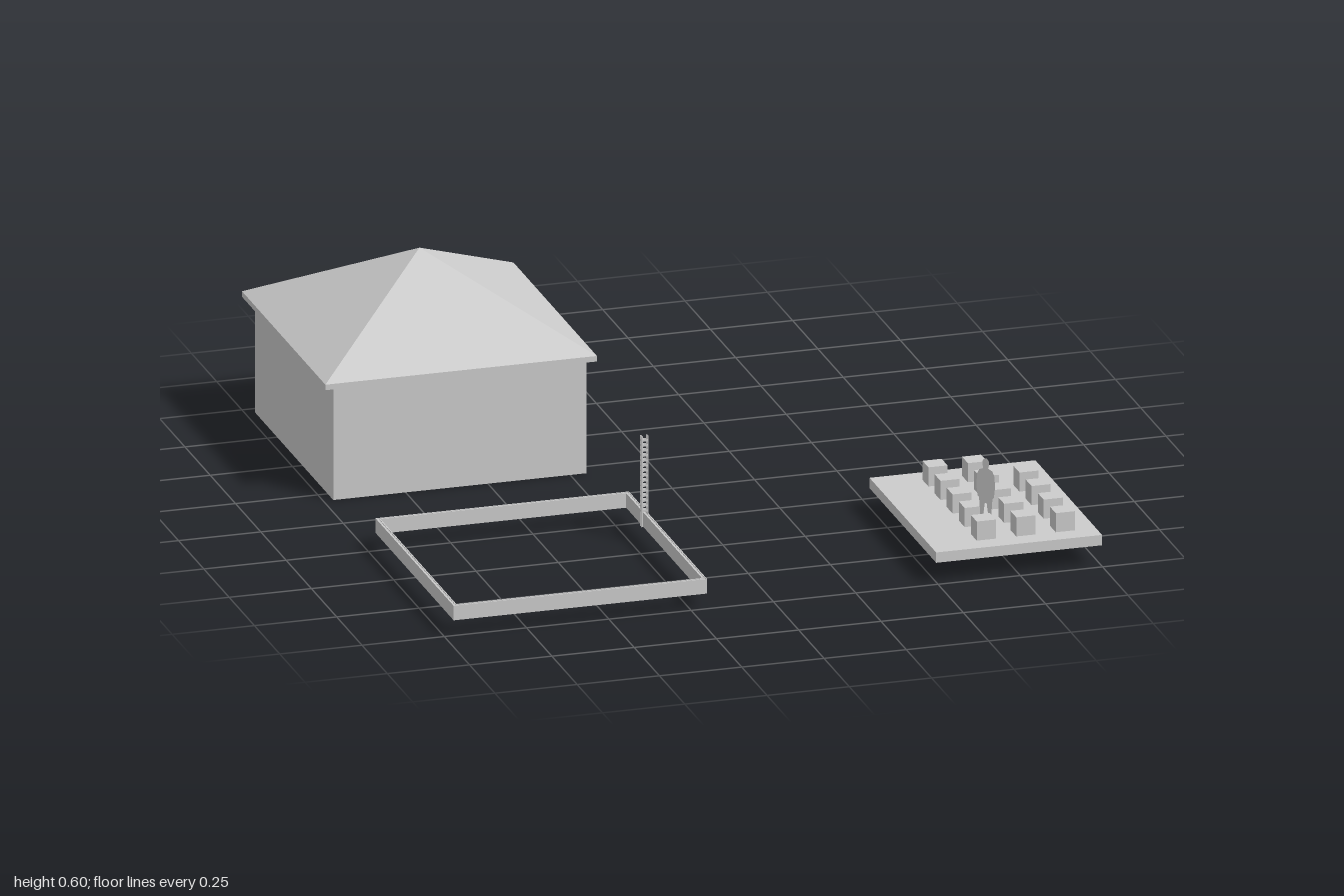
import * as THREE from 'three';

const grey = new THREE.MeshStandardMaterial({ color: 0xcccccc, flatShading: true });
const thin = new THREE.MeshStandardMaterial({ color: 0xcccccc, side: THREE.DoubleSide });

function add(parent, name, geometry, material = grey) {
  const mesh = new THREE.Mesh(geometry, material);
  mesh.name = name;
  parent.add(mesh);
  return mesh;
}

// Box given by its lowest and highest corners
function box(parent, name, [x0, y0, z0], [x1, y1, z1]) {
  const mesh = add(parent, name, new THREE.BoxGeometry(x1 - x0, y1 - y0, z1 - z0));
  mesh.position.set((x0 + x1) / 2, (y0 + y1) / 2, (z0 + z1) / 2);
  return mesh;
}

function group(parent, name) {
  const g = new THREE.Group();
  g.name = name;
  parent.add(g);
  return g;
}

const rect = (T, x0, y0, x1, y1) => new T([[x0, y0], [x1, y0], [x1, y1], [x0, y1]].map(p => new THREE.Vector2(...p)));

// Upright wall with one rectangular opening
function wall(a, b, y0, y1, hole, depth) {
  const shape = rect(THREE.Shape, a, y0, b, y1);
  shape.holes.push(rect(THREE.Path, ...hole));
  return new THREE.ExtrudeGeometry(shape, { depth, bevelEnabled: false });
}

function buildHouse(root) {
  const g = group(root, 'house');
  box(g, 'floorSlab', [-0.97, 0, -0.97], [-0.2, 0.06, -0.195]);
  box(g, 'frontWall', [-0.95, 0.06, -0.215], [-0.22, 0.35, -0.195]);
  box(g, 'rightWall', [-0.97, 0.06, -0.95], [-0.95, 0.35, -0.195]);
  add(g, 'garageWall', wall(0.195, 0.95, 0.06, 0.35, [0.27, 0.061, 0.555, 0.315], 0.02).rotateY(Math.PI / 2)).position.x = -0.22;
  add(g, 'backWall', wall(-0.97, -0.2, 0.06, 0.35, [-0.86, 0.061, -0.75, 0.315], 0.02)).position.z = -0.97;

  // Roof: eaves slab and square pyramid
  box(g, 'eaves', [-1, 0.35, -1], [-0.175, 0.367, -0.175]);
  const roof = add(g, 'roof', new THREE.ConeGeometry(0.4125 * Math.SQRT2, 0.235, 4, 1, true).rotateY(Math.PI / 4));
  roof.position.set(-0.5875, 0.4845, -0.5875);

  // Back door with frame, panels and handle
  const door = group(g, 'backDoor');
  box(door, 'doorLeaf', [-0.86, 0.06, -0.964], [-0.75, 0.315, -0.954]);
  for (const x of [-0.856, -0.754]) box(door, 'doorJamb', [x - 0.004, 0.06, -0.973], [x + 0.004, 0.315, -0.95]);
  box(door, 'doorHead', [-0.86, 0.307, -0.973], [-0.75, 0.315, -0.95]);
  for (const x of [-0.842, -0.801])
    for (const [y0, y1] of [[0.085, 0.17], [0.195, 0.29]])
      box(door, 'doorPanel', [x, y0, -0.968], [x + 0.033, y1, -0.963]);
  box(door, 'doorHandle', [-0.77, 0.178, -0.976], [-0.765, 0.192, -0.963]);

  // Small wall brackets in two rows
  for (const y of [0.08, 0.3])
    for (const z of [-0.67, -0.685, -0.75, -0.83, -0.875])
      box(g, 'wallBracket', [-0.202, y - 0.004, z - 0.004], [-0.197, y + 0.004, z + 0.004]);
}

function buildCar(root) {
  const g = group(root, 'car');
  g.position.set(-0.65, 0.06, -0.413);
  // Side profile extruded across the width; the cabin leans inward above the waist
  const profile = [[0.26, 0.04], [0.268, 0.075], [0.262, 0.115], [0.235, 0.13], [0.13, 0.145], [0.05, 0.2], [0, 0.208],
    [-0.14, 0.205], [-0.22, 0.195], [-0.258, 0.14], [-0.265, 0.05], [-0.25, 0.03], [0.245, 0.03]];
  const shape = new THREE.Shape(profile.map(p => new THREE.Vector2(...p)));
  const body = new THREE.ExtrudeGeometry(shape, { depth: 0.23, bevelSize: 0.006, bevelThickness: 0.008, bevelSegments: 1, bevelOffset: -0.006 });
  body.translate(0, 0, -0.115);
  const p = body.attributes.position;
  for (let i = 0; i < p.count; i++) {
    const y = p.getY(i), cabin = 1 - 4.5 * Math.max(0, y - 0.14);
    const nose = p.getX(i) > 0.23 ? 0.9 : 1;
    p.setZ(i, p.getZ(i) * cabin * nose);
  }
  body.computeVertexNormals();
  add(g, 'carBody', body);

  // Windscreen lying on the slope
  const screen = add(g, 'windscreen', new THREE.BoxGeometry(0.08, 0.004, 0.18));
  screen.position.set(0.092, 0.174, 0);
  screen.rotation.z = -Math.atan2(0.055, 0.08);

  // Nose details
  for (const s of [-1, 1]) {
    box(g, 'grille', [0.262, 0.085, s * 0.022 - 0.018], [0.271, 0.108, s * 0.022 + 0.018]);
    box(g, 'headlight', [0.25, 0.09, s * 0.08 - 0.022], [0.269, 0.11, s * 0.08 + 0.022]);
    box(g, 'fogLight', [0.255, 0.047, s * 0.085 - 0.014], [0.268, 0.06, s * 0.085 + 0.014]);
    box(g, 'mirror', [0.07, 0.138, s * 0.133 - 0.012], [0.088, 0.158, s * 0.133 + 0.012]);
    box(g, 'roofRail', [-0.17, 0.204, s * 0.075 - 0.003], [0, 0.212, s * 0.075 + 0.003]);
    for (const x of [-0.165, 0.17]) {
      const wheel = add(g, 'wheel', new THREE.CylinderGeometry(0.045, 0.045, 0.03, 20).rotateX(Math.PI / 2));
      wheel.position.set(x, 0.045, s * 0.122);
      const hub = add(g, 'hub', new THREE.CylinderGeometry(0.026, 0.026, 0.034, 10).rotateX(Math.PI / 2));
      hub.position.copy(wheel.position);
    }
  }
  box(g, 'bumperIntake', [0.258, 0.045, -0.06], [0.27, 0.065, 0.06]);
}

function buildFoundation(root) {
  const g = group(root, 'foundationRing');
  const x0 = -0.97, x1 = -0.2, z0 = 0.222, z1 = 0.995, y0 = 0.045, y1 = 0.09;
  // Two nested form boards, leaving a slot for the reinforcement
  for (const [name, inset] of [['outerBoards', 0], ['innerBoards', 0.009]]) {
    const t = inset + 0.003;
    const ring = rect(THREE.Shape, x0 + inset, -z1 + inset, x1 - inset, -z0 - inset);
    ring.holes.push(rect(THREE.Path, x0 + t, -z1 + t, x1 - t, -z0 - t));
    const geo = new THREE.ExtrudeGeometry(ring, { depth: y1 - y0, bevelEnabled: false }).rotateX(-Math.PI / 2);
    add(g, name, geo).position.y = y0;
  }
  // Bars and stirrups in the slot
  const c = 0.006, r = 0.002;
  for (const y of [y0 + 0.004, y1 - 0.004]) {
    for (const z of [z0 + c, z1 - c]) box(g, 'longBar', [x0 + c, y - r, z - r], [x1 - c, y + r, z + r]);
    for (const x of [x0 + c, x1 - c]) box(g, 'longBar', [x - r, y - r, z0 + c], [x + r, y + r, z1 - c]);
  }
  for (let i = 1; i < 40; i++) {
    const x = x0 + (x1 - x0) * i / 40, z = z0 + (z1 - z0) * i / 40;
    for (const e of [z0 + c, z1 - c]) box(g, 'stirrup', [x - 0.001, y0, e - 0.003], [x + 0.001, y1, e + 0.003]);
    for (const e of [x0 + c, x1 - c]) box(g, 'stirrup', [e - 0.003, y0, z - 0.001], [e + 0.003, y1, z + 0.001]);
  }

  // Column cage: corner bars tied by square hoops
  const post = group(root, 'columnCage');
  post.position.set(-0.211, 0, 0.411);
  for (const x of [-0.009, 0.009])
    for (const z of [-0.005, 0.005])
      box(post, 'cornerBar', [x - 0.002, 0.05, z - 0.002], [x + 0.002, 0.33, z + 0.002]);
  for (let i = 0; i < 15; i++) {
    const y = 0.1 + i * 0.0155;
    for (const z of [-0.006, 0.006]) box(post, 'hoop', [-0.011, y - 0.003, z - 0.001], [0.011, y + 0.003, z + 0.001]);
    for (const x of [-0.01, 0.01]) box(post, 'hoop', [x - 0.001, y - 0.003, -0.007], [x + 0.001, y + 0.003, 0.007]);
  }
}

function buildPlatform(root) {
  const g = group(root, 'platform');
  box(g, 'slab', [0.496, 0.065, 0.336], [1, 0.097, 0.995]);
  // Grid of blocks with one corner left empty
  for (let i = 0; i < 3; i++)
    for (let j = 0; j < 5; j++) {
      if (i === 2 && j === 0) continue;
      const x = 0.667 + i * 0.12, z = 0.427 + j * 0.1195;
      box(g, 'block', [x - 0.029, 0.097, z - 0.029], [x + 0.029, 0.156, z + 0.029]);
    }
  // Flat standing figure, set diagonally
  const half = [[0.003, 0.085], [0.008, 0.05], [0.007, 0.008], [0.016, 0], [0.018, 0.008], [0.019, 0.06], [0.022, 0.1],
    [0.027, 0.105], [0.031, 0.14], [0.028, 0.172], [0.022, 0.186], [0.008, 0.192], [0.011, 0.204], [0.01, 0.215], [0.004, 0.223]];
  const outline = [...half, ...half.map(([x, y]) => [-x, y]).reverse()].map(p => new THREE.Vector2(...p));
  const figure = add(g, 'standingFigure', new THREE.ShapeGeometry(new THREE.Shape(outline)), thin);
  figure.position.set(0.688, 0.097, 0.86);
  figure.rotation.y = -Math.PI / 4;
}

export function createModel() {
  const root = new THREE.Group();
  root.name = 'buildingSite';
  buildHouse(root);
  buildCar(root);
  buildFoundation(root);
  buildPlatform(root);
  return root;
}
